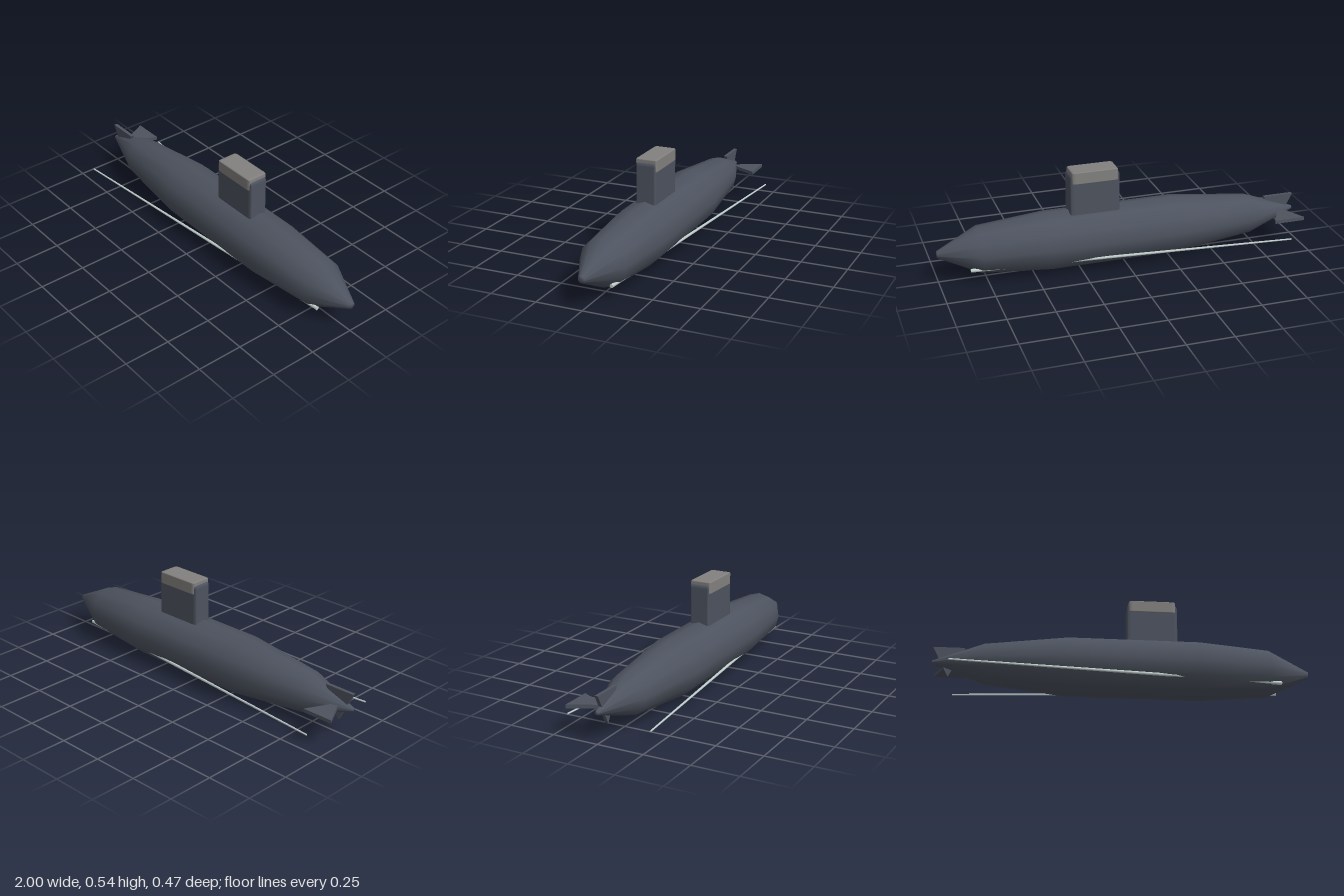
import * as THREE from 'three';
import { RoundedBoxGeometry } from 'three/addons/geometries/RoundedBoxGeometry.js';

const AXIS_Y = 0.158;

export function createModel() {
  const model = new THREE.Group();
  model.name = 'submarine';

  const hullGrey = new THREE.MeshStandardMaterial({ color: 0x4d535f });
  hullGrey.name = 'slate hull';
  const capGrey = new THREE.MeshStandardMaterial({ color: 0x82817f });
  capGrey.name = 'warm grey cap';
  const rodPale = new THREE.MeshStandardMaterial({ color: 0xc4d2d0 });
  rodPale.name = 'pale rod';

  const add = (name, geometry, material) => {
    const mesh = new THREE.Mesh(geometry, material);
    mesh.name = name;
    model.add(mesh);
    return mesh;
  };

  // Hull: twelve-sided smooth body, tail at -x and nose at +x
  const profile = [
    [0, -1], [0.01, -1], [0.108, -0.73], [0.158, -0.29],
    [0.158, 0.41], [0.126, 0.78], [0.018, 1], [0, 1],
  ].map(([r, x]) => new THREE.Vector2(r, x));
  const hull = add('hull', new THREE.LatheGeometry(profile, 12), hullGrey);
  hull.rotation.z = -Math.PI / 2;
  hull.position.y = AXIS_Y;

  // Sail and its cap: bevelled cubes stretched to size
  const bevelledBox = (name, min, max, material) => {
    const mesh = add(name, new RoundedBoxGeometry(1, 1, 1, 1, 0.08), material);
    const box = new THREE.Box3(new THREE.Vector3(...min), new THREE.Vector3(...max));
    box.getSize(mesh.scale);
    box.getCenter(mesh.position);
  };
  bevelledBox('sail', [0.023, 0.25, -0.054], [0.294, 0.527, 0.054], hullGrey);
  bevelledBox('sailCap', [0.033, 0.474, -0.059], [0.285, 0.541, 0.059], capGrey);

  // Tail fins: triangular plates with the point buried in the tail
  const thickness = 0.019;
  const triangle = new THREE.Shape();
  triangle.moveTo(0, 0);
  triangle.lineTo(0.085, 0.168);
  triangle.lineTo(-0.085, 0.168);
  triangle.closePath();
  const finGeometry = new THREE.ExtrudeGeometry(triangle, { depth: thickness, bevelEnabled: false });
  finGeometry.translate(0, 0, -thickness / 2);

  const rudder = add('rudder', finGeometry, hullGrey);
  rudder.position.set(-0.914, 0.076, 0);
  const sternPlane = add('sternPlane', finGeometry, hullGrey);
  sternPlane.rotation.x = -Math.PI / 2;
  sternPlane.position.set(-0.914, AXIS_Y + 0.002, -0.006);

  // Tapered rods running through the lower hull and spreading aft
  for (const side of [1, -1]) {
    const aft = new THREE.Vector3(-0.9, 0.076, 0.233 * side);
    const fore = new THREE.Vector3(0.84, 0.076, 0.075 * side);
    const direction = fore.clone().sub(aft);
    const rod = add(side > 0 ? 'frontRod' : 'backRod',
      new THREE.CylinderGeometry(0.01, 0.0045, direction.length(), 6), rodPale);
    rod.position.copy(aft).add(fore).multiplyScalar(0.5);
    rod.quaternion.setFromUnitVectors(new THREE.Vector3(0, 1, 0), direction.normalize());
  }

  return model;
}
